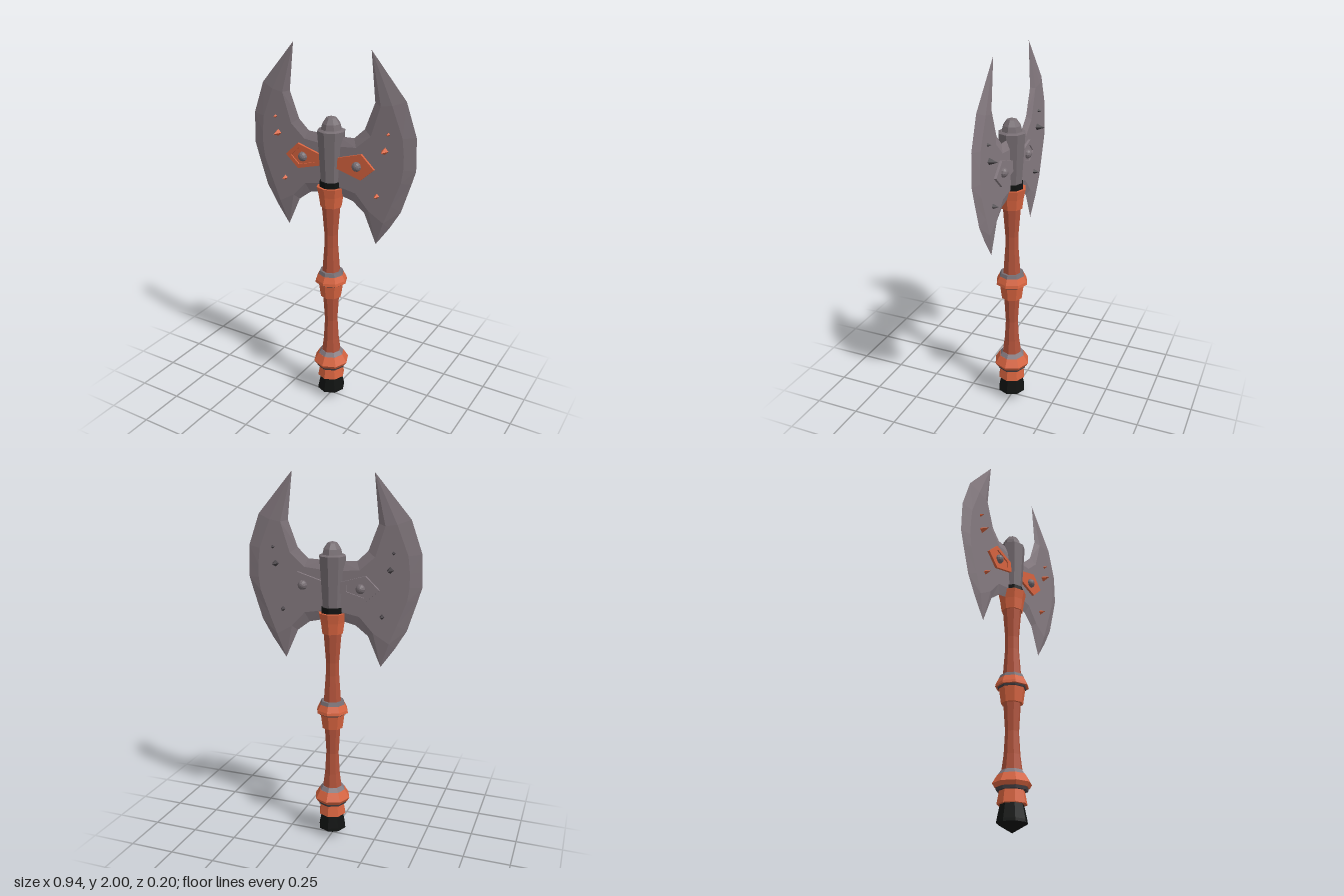
import * as THREE from 'three';

const mat = (name, color, side = THREE.FrontSide) => {
  const m = new THREE.MeshStandardMaterial({ color, flatShading: true, side });
  m.name = name;
  return m;
};

export function createModel() {
  const steel = mat('steel', 0x857a80);
  const headSteel = mat('headSteel', 0x766d72);
  const darkIron = mat('darkIron', 0x454044);
  const copper = mat('copper', 0xd6633f);
  const wood = mat('redWood', 0xb0523a);
  const black = mat('black', 0x101211);

  const model = new THREE.Group();
  model.name = 'doubleAxe';
  const add = (name, geometry, material, x = 0, y = 0, z = 0) => {
    const mesh = new THREE.Mesh(geometry, material);
    mesh.name = name;
    mesh.position.set(x, y, z);
    model.add(mesh);
    return mesh;
  };

  // Eight-sided turned part; profile is [radius, y] from bottom to top, capped at both ends
  const turned = (name, material, profile) => {
    const closed = [[0, profile[0][1]], ...profile, [0, profile[profile.length - 1][1]]];
    return add(name, new THREE.LatheGeometry(closed.map(p => new THREE.Vector2(...p)), 8), material);
  };

  // Handle, from pommel to collar
  turned('pommel', black, [[0.001, 0], [0.078, 0.045], [0.076, 0.06], [0.058, 0.145]]);
  turned('lowerCuff', copper, [[0.077, 0.135], [0.064, 0.205]]);
  turned('lowerGroove', darkIron, [[0.08, 0.2], [0.085, 0.22]]);
  turned('baseCuff', copper, [[0.088, 0.215], [0.1, 0.235], [0.073, 0.28]]);
  turned('baseBand', steel, [[0.073, 0.278], [0.056, 0.302]]);
  turned('lowerShaft', wood, [[0.055, 0.29], [0.043, 0.38], [0.036, 0.5], [0.046, 0.66]]);
  turned('middleCuff', copper, [[0.058, 0.65], [0.07, 0.735]]);
  turned('middleGroove', darkIron, [[0.074, 0.73], [0.078, 0.745]]);
  turned('middleRing', copper, [[0.089, 0.74], [0.086, 0.755], [0.068, 0.79]]);
  turned('middleBand', headSteel, [[0.07, 0.786], [0.062, 0.805]]);
  turned('upperShaft', wood, [[0.05, 0.79], [0.038, 0.95], [0.037, 1.02], [0.052, 1.2]]);
  turned('topCollar', copper, [[0.058, 1.18], [0.066, 1.24], [0.077, 1.29]]);

  // Head socket and cap
  turned('neckBand', black, [[0.062, 1.285], [0.062, 1.32]]);
  turned('socket', headSteel, [[0.054, 1.31], [0.073, 1.585], [0.058, 1.592]]);
  turned('cap', headSteel, [[0.056, 1.585], [0.047, 1.62], [0.026, 1.65], [0.001, 1.658]]);

  // Blade stations from top tip to bottom tip: cutting edge, two ridge lines, inner edge
  const stations = [
    [[0.217, 2.0], [0.217, 2.0], [0.217, 2.0], [0.217, 2.0]],
    [[0.407, 1.78], [0.34, 1.755], [0.28, 1.745], [0.243, 1.755]],
    [[0.466, 1.615], [0.4, 1.605], [0.23, 1.59], [0.19, 1.617]],
    [[0.469, 1.53], [0.41, 1.52], [0.15, 1.52], [0.132, 1.563]],
    [[0.471, 1.45], [0.41, 1.45], [0.04, 1.51], [0.04, 1.56]],
    [[0.45, 1.38], [0.4, 1.38], [0.04, 1.3], [0.04, 1.25]],
    [[0.4, 1.225], [0.35, 1.25], [0.15, 1.28], [0.127, 1.23]],
    [[0.34, 1.125], [0.31, 1.15], [0.225, 1.2], [0.195, 1.178]],
    [[0.265, 1.02], [0.265, 1.02], [0.265, 1.02], [0.265, 1.02]],
  ];
  const bladeGeometry = side => {
    const pos = [];
    for (const face of [1, -1]) {
      const at = (i, j) => {
        const tip = i === 0 || i === stations.length - 1;
        const thick = tip || j === 0 || j === 3 ? 0 : 0.015;
        return [side * stations[i][j][0], stations[i][j][1], face * thick];
      };
      for (let i = 0; i < stations.length - 1; i++) {
        for (let j = 0; j < 3; j++) {
          const [a, b, c, d] = [at(i, j), at(i, j + 1), at(i + 1, j + 1), at(i + 1, j)];
          const tris = side * face > 0 ? [a, b, c, a, c, d] : [a, c, b, a, d, c];
          pos.push(...tris.flat());
        }
      }
    }
    const g = new THREE.BufferGeometry();
    g.setAttribute('position', new THREE.Float32BufferAttribute(pos, 3));
    g.computeVertexNormals();
    return g;
  };

  // Arrow-shaped mounting plate, scaled about its rivet for the recessed centre
  const outline = (side, k) => [[0.04, 1.452], [0.185, 1.495], [0.258, 1.426], [0.185, 1.36], [0.04, 1.4]]
    .map(([x, y]) => new THREE.Vector2(side * (0.165 + (x - 0.165) * k), 1.426 + (y - 1.426) * k));
  const extrude = (shape, depth) => new THREE.ExtrudeGeometry(shape, { depth, bevelEnabled: false });

  const spikes = [[0.325, 1.615, 0.016, 0.036], [0.31, 1.53, 0.024, 0.06], [0.272, 1.29, 0.02, 0.048]];

  for (const side of [1, -1]) {
    const label = side > 0 ? 'left' : 'right';
    add(label + 'Blade', bladeGeometry(side), steel);

    for (const face of [1, -1]) {
      const where = label + (face > 0 ? 'Front' : 'Back');
      const plateMat = face > 0 ? copper : steel;

      // Plate with a raised rim
      add(where + 'Plate', extrude(new THREE.Shape(outline(side, 0.95)), 0.021), plateMat, 0, 0, face > 0 ? 0 : -0.021);
      const rim = new THREE.Shape(outline(side, 1));
      rim.holes.push(new THREE.Path(outline(side, 0.66)));
      add(where + 'PlateRim', extrude(rim, 0.028), plateMat, 0, 0, face > 0 ? 0 : -0.028);

      // Domed rivet
      const rivet = new THREE.SphereGeometry(0.026, 10, 4, 0, Math.PI * 2, 0, Math.PI / 2);
      rivet.rotateX(face * Math.PI / 2);
      add(where + 'Rivet', rivet, headSteel, side * 0.158, 1.426, face * 0.02);

      // Four-sided studs
      for (const [x, y, r, h] of spikes) {
        const stud = new THREE.ConeGeometry(r, h, 4);
        stud.translate(0, h / 2, 0);
        stud.rotateX(face * Math.PI / 2);
        add(where + 'Stud', stud, face > 0 ? copper : darkIron, side * x, y, 0);
      }
    }
  }
  return model;
}
